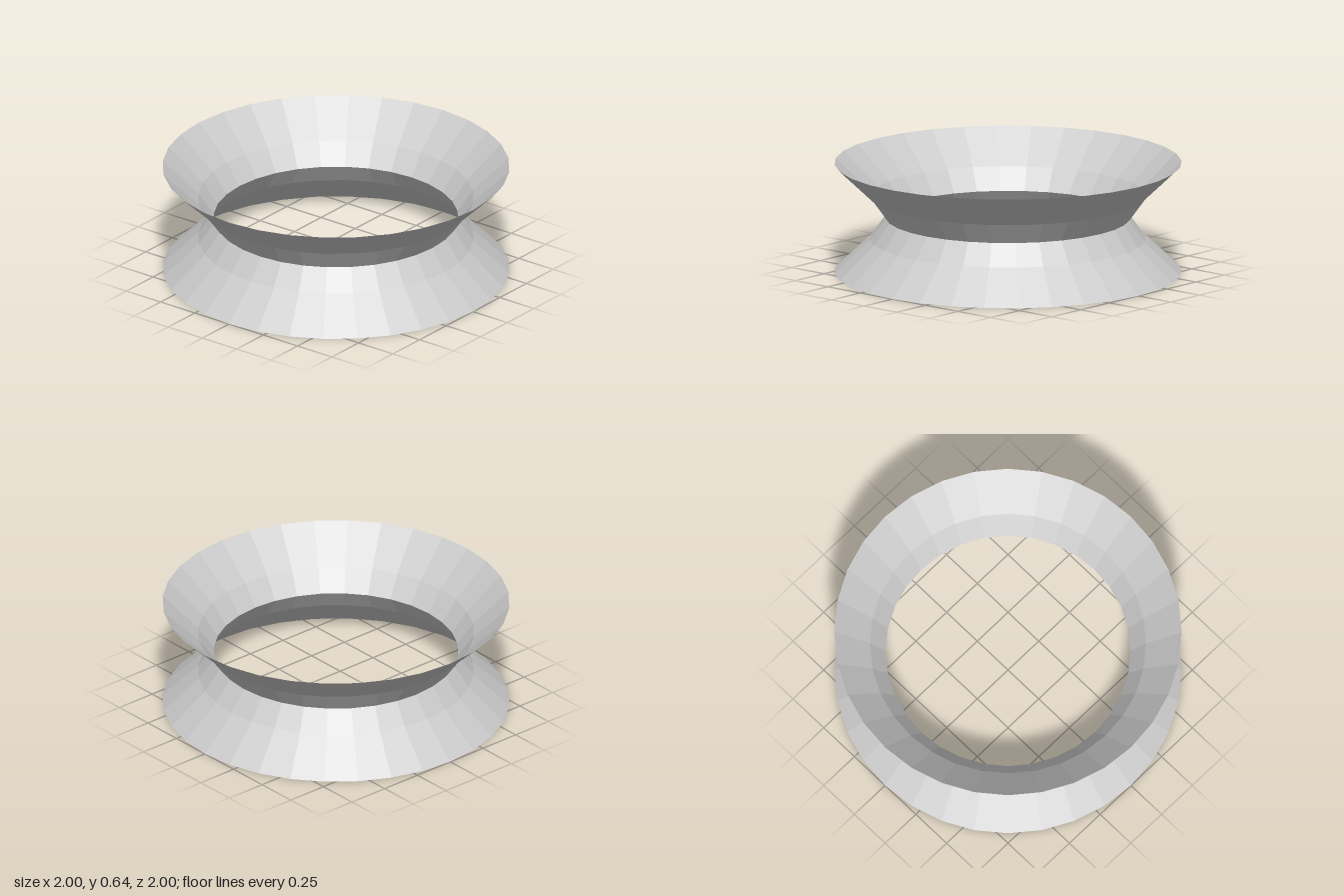
import * as THREE from 'three';

const SEGMENTS = 32;
const HEIGHT = 0.64;

export function createModel() {
  const group = new THREE.Group();
  group.name = 'flaredRing';
  const material = new THREE.MeshStandardMaterial({
    color: 0xcccccc, flatShading: true, side: THREE.DoubleSide,
  });

  // Half profile from the outer rim in to the narrow waist: [radius, height]
  const profile = [[1, 0], [0.795, 0.195], [0.705, HEIGHT / 2]];

  // Lower flange opens downwards, upper flange is its mirror
  const lower = profile.map(([r, y]) => new THREE.Vector2(r, y));
  const upper = profile.map(([r, y]) => new THREE.Vector2(r, HEIGHT - y)).reverse();

  for (const [name, points] of [['lowerFlange', lower], ['upperFlange', upper]]) {
    const mesh = new THREE.Mesh(new THREE.LatheGeometry(points, SEGMENTS), material);
    mesh.name = name;
    group.add(mesh);
  }
  return group;
}
